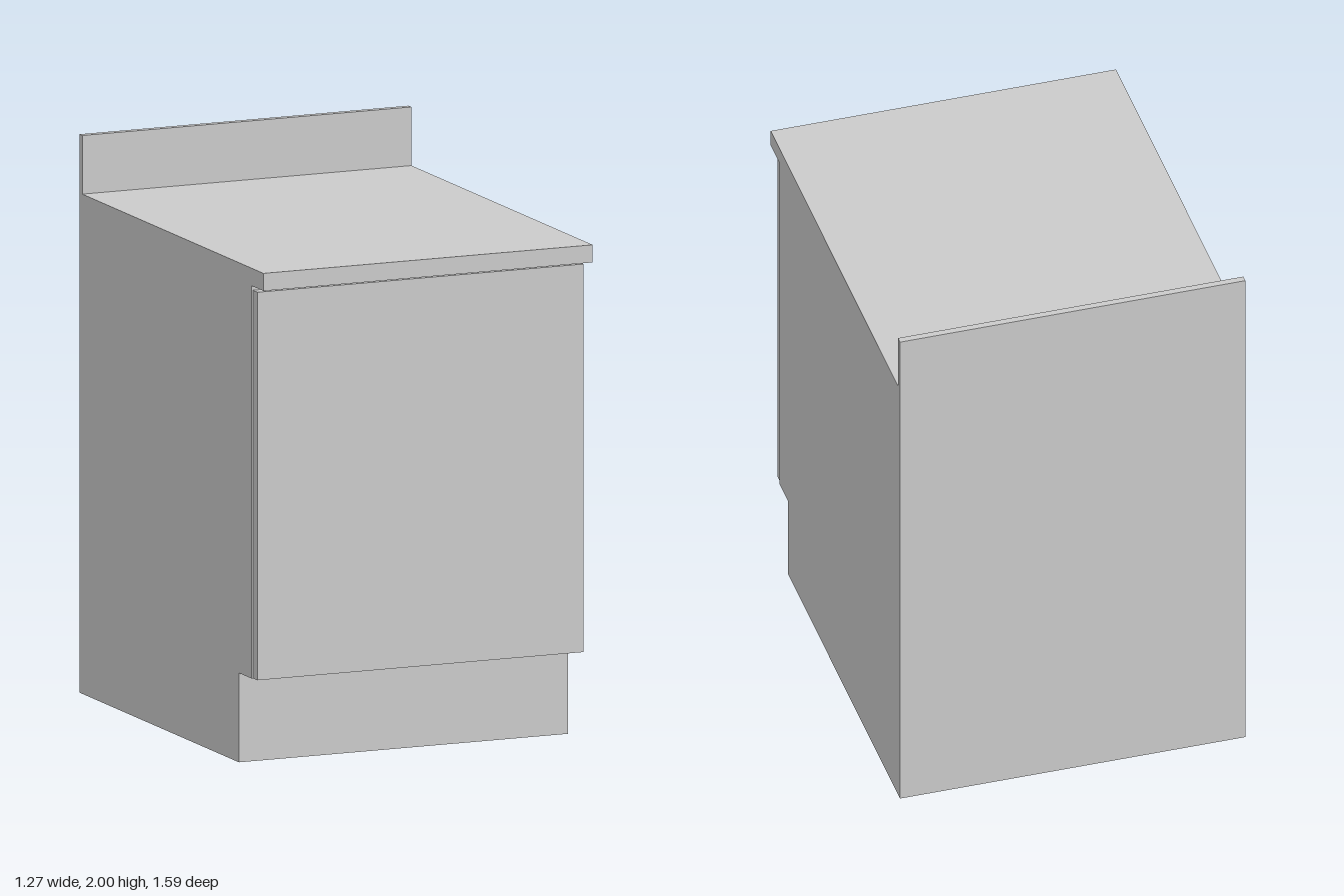
import * as THREE from 'three';

const WIDTH = 1.266;
const BACK = -0.795;

export function createModel() {
  const group = new THREE.Group();
  const material = new THREE.MeshStandardMaterial({ color: 0xcccccc, flatShading: true });

  const add = (name, geometry) => {
    const mesh = new THREE.Mesh(geometry, material);
    mesh.name = name;
    group.add(mesh);
    return mesh;
  };

  // Box given by its width and its y and z ranges
  const slab = (name, width, y0, y1, z0, z1) =>
    add(name, new THREE.BoxGeometry(width, y1 - y0, z1 - z0))
      .position.set(0, (y0 + y1) / 2, (z0 + z1) / 2);

  // Cabinet body: side profile with a recessed toe kick, extruded across the width
  const profile = new THREE.Shape([
    [BACK, 0], [0.583, 0], [0.583, 0.32], [0.69, 0.32], [0.69, 1.727], [BACK, 1.727],
  ].map(([z, y]) => new THREE.Vector2(-z, y)));
  const body = new THREE.ExtrudeGeometry(profile, { depth: WIDTH, bevelEnabled: false });
  body.translate(0, 0, -WIDTH / 2).rotateY(Math.PI / 2);
  add('cabinetBody', body);

  // Door panel, slightly narrower than the body, with a gap under the worktop
  slab('door', 1.254, 0.32, 1.71, 0.69, 0.73);

  // Worktop overhanging the door, and the upstand along its back edge
  slab('worktop', WIDTH, 1.727, 1.79, BACK, 0.795);
  slab('backsplash', WIDTH, 1.79, 2, BACK, -0.77);

  return group;
}
